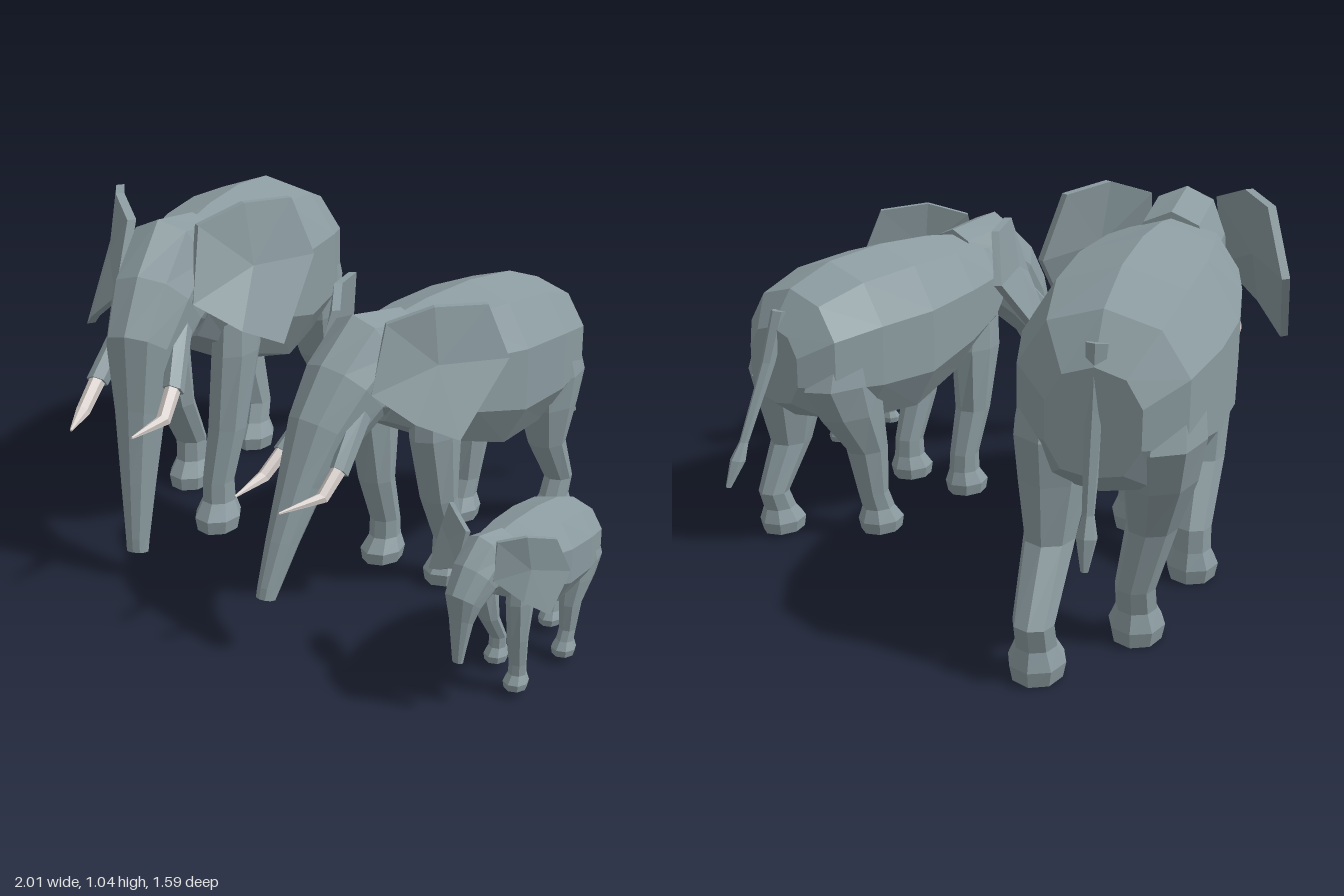
import * as THREE from 'three';

const SIDES = 10;
const hide = new THREE.MeshStandardMaterial({ color: 0x8b9ba0, flatShading: true });
hide.name = 'greyHide';
const ivory = new THREE.MeshStandardMaterial({ color: 0xd8d0cc, flatShading: true });
ivory.name = 'ivory';
const lerp = THREE.MathUtils.lerp;

// Closed skin over rings of points, each ring clockwise when seen from the path's far end
function skin(name, rings, material = hide) {
  const n = rings[0].length, last = rings.length - 1, index = [];
  const centre = (ring) => [0, 1, 2].map((c) => ring.reduce((s, p) => s + p[c], 0) / n);
  const points = [...rings.flat(), centre(rings[0]), centre(rings[last])];
  const start = n * rings.length;
  for (let k = 0; k < n; k++) {
    const m = (k + 1) % n;
    for (let r = 0; r < last; r++) {
      const a = r * n + k, b = r * n + m;
      index.push(a, a + n, b, b, a + n, b + n);
    }
    index.push(start, k, m, start + 1, last * n + m, last * n + k);
  }
  const g = new THREE.BufferGeometry();
  g.setAttribute('position', new THREE.Float32BufferAttribute(points.flat(), 3));
  g.setIndex(index);
  const faceted = g.toNonIndexed();
  faceted.computeVertexNormals();
  const mesh = new THREE.Mesh(faceted, material);
  mesh.name = name;
  return mesh;
}

// Skin through rounded rings [x, y, z, halfWidth, halfDepth, tilt]; tilt 0 faces forward, 90 down
function loft(name, rings, material = hide, sides = SIDES, power = 1, flat = 1) {
  const bend = (v) => Math.sign(v) * Math.abs(v) ** power;
  return skin(name, rings.map(([x, y, z, w, d, tilt]) => {
    const t = THREE.MathUtils.degToRad(tilt);
    return Array.from({ length: sides }, (_, k) => {
      const a = (k / sides) * Math.PI * 2;
      const c = Math.max(bend(Math.cos(a)), -flat) * d;
      return [x + w * bend(Math.sin(a)), y + c * Math.cos(t), z + c * Math.sin(t)];
    });
  }), material);
}

// Barrel of the body: [z, top, bottom, halfWidth]
function body() {
  const sections = [
    [-0.62, 0.67, 0.44, 0.1], [-0.55, 0.765, 0.38, 0.18], [-0.4, 0.815, 0.335, 0.215],
    [-0.2, 0.83, 0.315, 0.22], [0, 0.82, 0.385, 0.195], [0.14, 0.8, 0.46, 0.165], [0.25, 0.77, 0.52, 0.1],
  ];
  return loft('body', sections.map(([z, top, bottom, w]) =>
    [0, (top + bottom) / 2, z, w, (top - bottom) / 2, 0]), hide, SIDES, 0.88, 0.93);
}

// Head running on into the trunk
function head([tipY, tipZ]) {
  const rings = [
    [0, 0.66, 0.1, 0.105, 0.16, 5], [0, 0.69, 0.24, 0.108, 0.17, 25],
    [0, 0.64, 0.34, 0.105, 0.135, 45], [0, 0.55, 0.43, 0.083, 0.11, 55],
  ];
  const taper = [[0.3, 0.058, 0.066], [0.65, 0.041, 0.046], [0.93, 0.028, 0.032], [1, 0.026, 0.026]];
  for (const [t, w, d] of taper) {
    rings.push([0, lerp(0.55, tipY, t), lerp(0.43, tipZ, t ** 0.8), w, d, lerp(62, 76, t)]);
  }
  return loft('headAndTrunk', rings, hide, SIDES, 0.9);
}

// Leg from hip or shoulder to a foot placed at [x, z]
function leg(name, side, front, [footX, footZ]) {
  const at = (y, hipZ, t, w, d, bow = 0) =>
    [lerp(0.11 * side, footX * side, t), y, lerp(hipZ, footZ, t) + bow, w, d, 90];
  const upper = front
    ? [at(0.62, 0.1, 0, 0.05, 0.08), at(0.47, 0.1, 0.1, 0.06, 0.09), at(0.27, 0.1, 0.5, 0.053, 0.055, 0.01)]
    : [at(0.64, -0.45, 0, 0.07, 0.11), at(0.5, -0.475, 0, 0.088, 0.135),
      at(0.4, -0.46, 0.15, 0.078, 0.11), at(0.27, -0.44, 0.5, 0.055, 0.065, 0.01)];
  return loft(name, [...upper,
    at(0.13, 0, 1, 0.044, 0.046, front ? 0 : -0.02), at(0.075, 0, 1, 0.045, 0.05),
    at(0.035, 0, 1, 0.062, 0.072, 0.01), at(0, 0, 1, 0.055, 0.066, 0.012)], hide, 8);
}

// Flat fan ear, swept back from the head
function ear(name, side, spread, sweep) {
  const outline = [
    [0.09, 0.83, 0.28], [0.17, 0.87, 0.18], [0.24, 0.86, 0.04],
    [0.285, 0.71, 0], [0.27, 0.525, 0.19], [0.2, 0.58, 0.29], [0.1, 0.655, 0.35],
  ];
  const layer = (dx, dz) => {
    const ring = outline.map(([x, y, z]) =>
      [side * (0.1 + (x - 0.1) * spread + dx), y, 0.28 + (z - 0.28) * sweep + dz]);
    return side > 0 ? ring : ring.reverse();
  };
  return skin(name, [layer(-0.012, -0.008), layer(0.004, 0.008)]);
}

function tusk(side, tipZ) {
  const g = new THREE.Group();
  g.name = side > 0 ? 'leftTusk' : 'rightTusk';
  g.add(loft('tuskSocket', [
    [0.07 * side, 0.6, 0.36, 0.028, 0.035, 40], [0.1 * side, 0.48, 0.48, 0.026, 0.028, 45]], hide, 6));
  g.add(loft('tuskIvory', [
    [0.098 * side, 0.495, 0.465, 0.019, 0.022, 45], [0.104 * side, 0.43, 0.55, 0.017, 0.018, 30],
    [0.077 * side, 0.425, tipZ, 0.003, 0.003, 0]], ivory, 6));
  return g;
}

function tail([x, y, z]) {
  const at = (t, w) => [x * t * t, lerp(0.71, y, t), lerp(-0.59, z, t ** 1.2), w, w, 100];
  return loft('tail', [at(0, 0.025), at(0.3, 0.02), at(0.75, 0.013), at(0.85, 0.022), at(1, 0.008)], hide, 6);
}

function elephant(name, o) {
  const g = new THREE.Group();
  g.name = name;
  g.add(body(), head(o.trunkTip), tail(o.tailTip));
  for (const side of [1, -1]) {
    const s = side > 0 ? 'left' : 'right', i = side > 0 ? 0 : 1;
    g.add(leg(s + 'FrontLeg', side, true, o.frontFeet[i]));
    g.add(leg(s + 'HindLeg', side, false, o.hindFeet[i]));
    g.add(ear(s + 'Ear', side, o.earSpread, o.earSweep));
    if (o.tuskTip) g.add(tusk(side, o.tuskTip));
  }
  g.scale.set(...o.scale);
  g.position.set(...o.position);
  g.rotation.y = o.turn;
  return g;
}

export function createModel() {
  const herd = new THREE.Group();
  herd.name = 'elephantHerd';
  herd.add(
    elephant('largeElephant', {
      position: [-0.56, 0, 0.035], turn: 0.4, scale: [1.18, 1.19, 1.17],
      trunkTip: [0.065, 0.515], tailTip: [0, 0.27, -0.66], tuskTip: 0.66,
      frontFeet: [[0.075, 0.18], [0.11, -0.06]], hindFeet: [[0.11, -0.61], [0.05, -0.39]],
      earSpread: 1, earSweep: 1,
    }),
    elephant('mediumElephant', {
      position: [0.26, 0.01, 0], turn: 0, scale: [1, 0.99, 1],
      trunkTip: [0.15, 0.655], tailTip: [0, 0.25, -0.8], tuskTip: 0.68,
      frontFeet: [[0.11, 0.02], [0.11, 0.04]], hindFeet: [[0.11, -0.53], [0.11, -0.34]],
      earSpread: 1, earSweep: 1,
    }),
    elephant('calf', {
      position: [0.81, 0.02, 0.34], turn: 0, scale: [0.52, 0.51, 0.48],
      trunkTip: [0.24, 0.46], tailTip: [-0.08, 0.28, -0.83], tuskTip: 0,
      frontFeet: [[0.11, 0.1], [0.11, -0.06]], hindFeet: [[0.11, -0.35], [0.11, -0.58]],
      earSpread: 1.43, earSweep: 0.7,
    }),
  );
  return herd;
}
